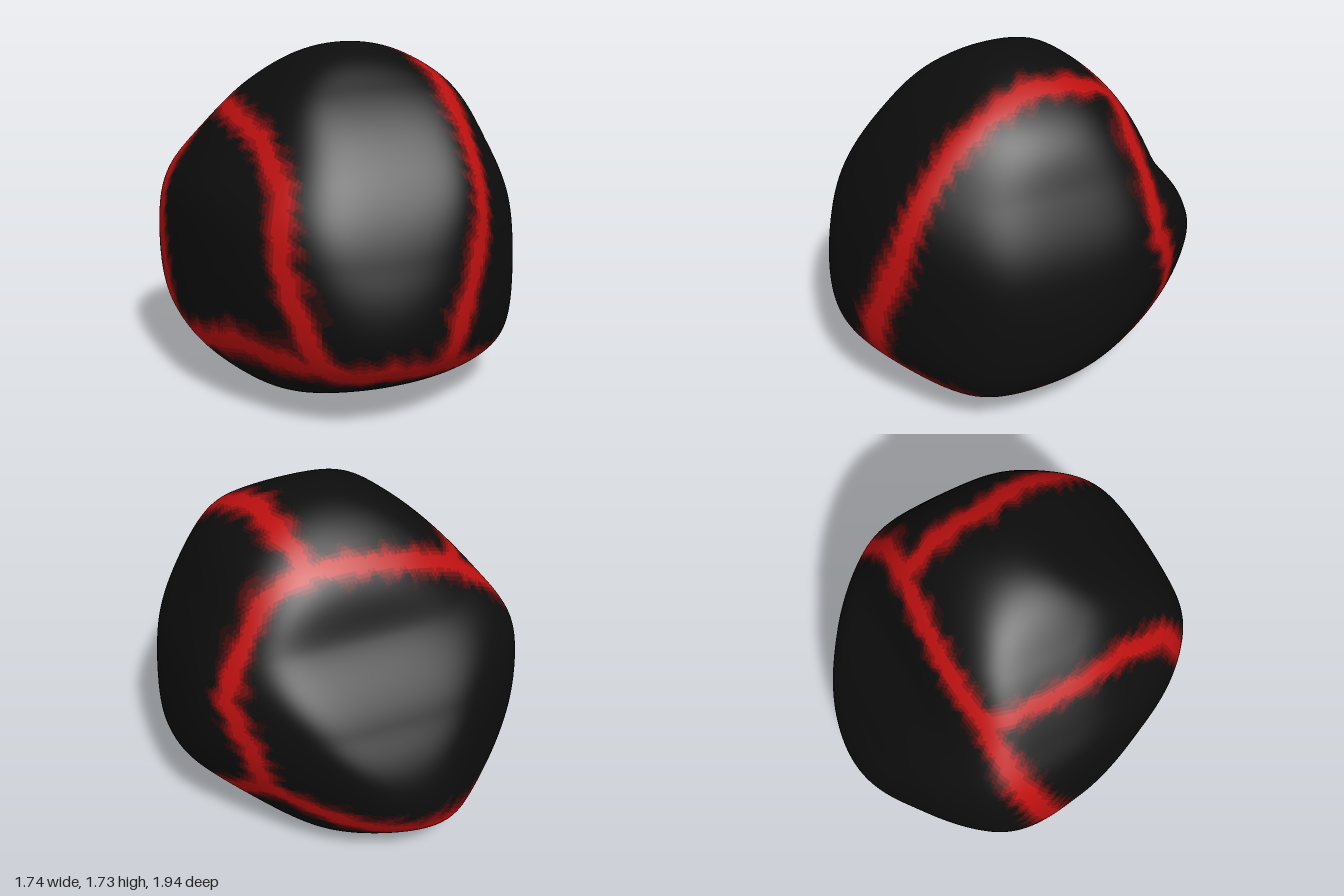
import * as THREE from 'three';
import { mergeVertices } from 'three/addons/utils/BufferGeometryUtils.js';

const CENTRE_Y = 0.9;
const { degToRad, euclideanModulo } = THREE.MathUtils;

// Outline of the boulder seen from an azimuth and elevation: one radius every 30 degrees, anticlockwise
function outline(azimuth, elevation, radii) {
  const a = degToRad(azimuth), e = degToRad(elevation);
  const right = new THREE.Vector3(Math.cos(a), 0, -Math.sin(a));
  const up = new THREE.Vector3(-Math.sin(a) * Math.sin(e), Math.cos(e), -Math.cos(a) * Math.sin(e));
  return { right, up, radii };
}

const OUTLINES = [
  outline(0, 0, [.85, .80, .91, .90, .78, .76, .88, .98, .97, .90, .95, .98]),
  outline(90, 0, [.80, .65, .79, .90, .82, .81, .90, 1.10, .96, .86, .97, 1.12]),
  outline(0, 90, [.88, .90, .91, 1.0, .91, .96, .82, .80, .92, .98, .94, .91]),
  outline(45, 20, [.89, .82, .82, .87, .80, .77, .89, 1.03, .97, .92, .92, .88]),
  outline(225, 20, [.92, .85, .86, .93, .88, .84, .89, .95, 1.02, .90, .97, .91]),
  outline(135, -20, [.92, .76, .78, .90, .90, .86, .91, 1.01, .98, .93, .93, 1.01]),
];

// Smooth closed curve through the radii of an outline
function outlineRadius(radii, angle) {
  const n = radii.length;
  const s = euclideanModulo(angle / (2 * Math.PI), 1) * n;
  const i = Math.floor(s), t = s - i;
  const [a, b, c, d] = [-1, 0, 1, 2].map((k) => radii[(i + k + n) % n]);
  return b + t / 2 * (c - a + t * (2 * a - 5 * b + 4 * c - d + t * (3 * (b - c) + d - a)));
}

// The boulder is the common volume of all outlines; a soft minimum rounds the ridges
function boulderRadius(dir) {
  const power = 20;
  let sum = 0;
  for (const { right, up, radii } of OUTLINES) {
    const u = dir.dot(right), v = dir.dot(up);
    sum += (outlineRadius(radii, Math.atan2(v, u)) / Math.hypot(u, v)) ** -power;
  }
  return 1.02 * sum ** (-1 / power);
}

// Corners where cracks meet
const footLeft = [.32, .28, .88], footRight = [-.35, .36, .88];
const topLeft = [.29, 1.58, -.4], topRight = [-.5, 1.42, -.38];
const sideRight = [-.76, .35, -.1], backLeft = [.68, .45, -.64];

// Cracks run over the surface through these points
const VEINS = [
  [footLeft, [.35, .6, .87], [.45, 1, .72], [.45, 1.3, .6], [.42, 1.5, .43], [.36, 1.7, .08], topLeft],
  [footRight, [-.42, .6, .86], [-.47, .9, .74], [-.42, 1.2, .6], [-.5, 1.42, .39], topRight],
  [topLeft, [-.2, 1.53, -.42], topRight],
  [topRight, [-.85, 1.05, -.3], [-.87, .62, -.2], sideRight],
  [topLeft, [.5, 1.42, -.36], [.72, 1.02, -.44], [.7, .75, -.6], backLeft],
  [sideRight, [-.66, .42, .5], footRight, [-.15, .32, .92], [0, .36, .94], footLeft],
  [footLeft, [.6, .21, .6], [.74, .2, .2], [.72, .3, -.3], backLeft],
  [backLeft, [-.1, .36, -.85], [-.6, .34, -.52], sideRight],
].map((path) => path.map(([x, y, z]) => new THREE.Vector3(x, y - CENTRE_Y, z).normalize()));

const line = new THREE.Line3(), near = new THREE.Vector3();
function veinDistance(dir) {
  let best = Infinity;
  for (const path of VEINS) {
    for (let i = 1; i < path.length; i++) {
      line.set(path[i - 1], path[i]).closestPointToPoint(dir, true, near);
      best = Math.min(best, near.normalize().distanceTo(dir));
    }
  }
  return best;
}

// Red fades into black rock band by band
const SHADES = [
  ['veinCore', 0xbe1010], ['veinInner', 0x960e0e], ['veinMiddle', 0x6c0d0d],
  ['veinOuter', 0x450c0c], ['veinFringe', 0x240c0c], ['rock', 0x0d0d0d],
];

export function createModel() {
  const group = new THREE.Group();
  group.name = 'crackedBoulder';

  // Boulder surface, with the ragged distance of every vertex to the nearest crack
  const ball = new THREE.IcosahedronGeometry(1, 42);
  ball.deleteAttribute('uv');
  ball.deleteAttribute('normal');
  const surface = mergeVertices(ball, 1e-5);
  const { position } = surface.attributes;
  const dir = new THREE.Vector3();
  const distance = [];
  for (let i = 0; i < position.count; i++) {
    dir.fromBufferAttribute(position, i).normalize();
    const ragged = 1 + .22 * Math.sin(dir.x * 23 + dir.y * 31) * Math.sin(dir.z * 27 - dir.y * 17)
      + .15 * Math.sin(dir.x * 51 - dir.z * 47 + dir.y * 43);
    distance.push(veinDistance(dir) / ragged);
    dir.multiplyScalar(boulderRadius(dir));
    position.setXYZ(i, dir.x, dir.y, dir.z);
  }

  // Stand it on the ground
  surface.computeBoundingBox();
  surface.translate(0, -surface.boundingBox.min.y, 0);
  surface.computeVertexNormals();

  // Sort the faces into the bands
  const bands = SHADES.map(() => []);
  const index = surface.index.array;
  for (let i = 0; i < index.length; i += 3) {
    const face = [index[i], index[i + 1], index[i + 2]];
    const d = face.reduce((sum, v) => sum + distance[v], 0) / 3;
    const band = THREE.MathUtils.clamp(Math.ceil((d - .045) / .022), 0, SHADES.length - 1);
    bands[band].push(...face);
  }
  SHADES.forEach(([name, color], k) => {
    const part = new THREE.BufferGeometry();
    part.setAttribute('position', position);
    part.setAttribute('normal', surface.attributes.normal);
    part.setIndex(bands[k]);
    const mesh = new THREE.Mesh(part, new THREE.MeshStandardMaterial({ color }));
    mesh.name = name;
    group.add(mesh);
  });
  return group;
}
